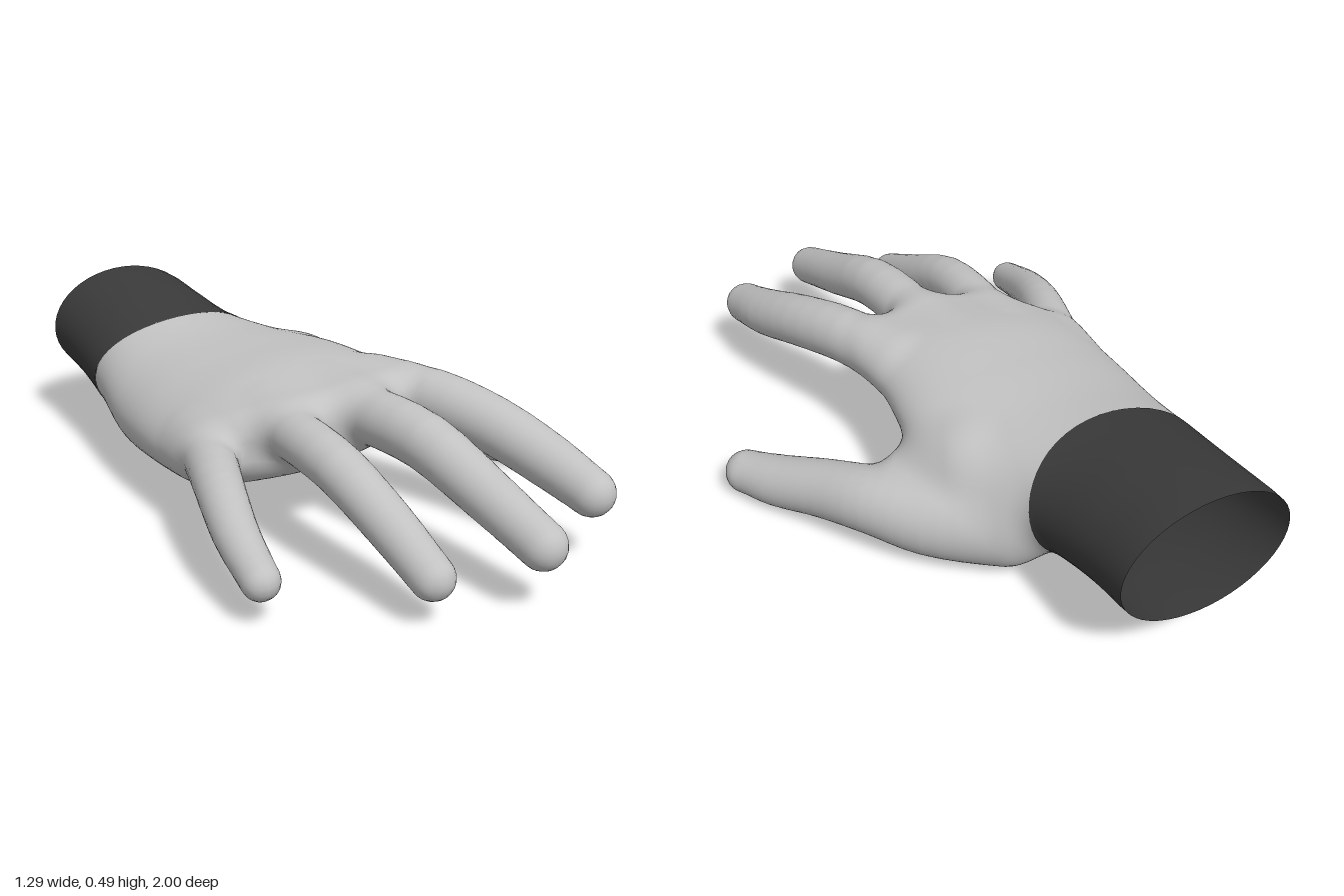
import * as THREE from 'three';

// Palm and wrist cross-sections every 0.2 from z = -1: centre x, centre y, half width, half height, sideways slope
const SECTIONS = [
  [-0.148, 0.32, 0.253, 0.18, 0],
  [-0.157, 0.297, 0.257, 0.182, 0],
  [-0.16, 0.262, 0.28, 0.188, 0],
  [-0.142, 0.235, 0.335, 0.193, 0.05],
  [-0.135, 0.248, 0.365, 0.178, 0.1],
  [-0.15, 0.267, 0.358, 0.159, 0.14],
  [-0.15, 0.294, 0.355, 0.112, 0.15],
  [-0.15, 0.297, 0.35, 0.095, 0.15],
];

// Digits: joints as x, y, z, radius
const FINGERS = [
  [[0.12, 0.33, 0.1, 0.08], [0.178, 0.335, 0.28, 0.082], [0.237, 0.3, 0.47, 0.079], [0.278, 0.245, 0.65, 0.073], [0.292, 0.203, 0.797, 0.064]],
  [[-0.06, 0.32, 0.1, 0.075], [-0.05, 0.335, 0.3, 0.078], [-0.035, 0.325, 0.52, 0.076], [-0.015, 0.255, 0.73, 0.069], [-0.002, 0.185, 0.935, 0.062]],
  [[-0.25, 0.3, 0.1, 0.07], [-0.27, 0.31, 0.28, 0.07], [-0.278, 0.29, 0.48, 0.068], [-0.265, 0.21, 0.67, 0.064], [-0.263, 0.135, 0.843, 0.057]],
  [[-0.41, 0.23, -0.02, 0.07], [-0.455, 0.235, 0.13, 0.07], [-0.52, 0.22, 0.3, 0.064], [-0.57, 0.175, 0.46, 0.058], [-0.597, 0.125, 0.614, 0.05]],
];
const THUMB = [[0.085, 0.15, -0.455, 0.14], [0.245, 0.14, -0.335, 0.12], [0.357, 0.145, -0.22, 0.096], [0.443, 0.118, -0.075, 0.083], [0.527, 0.085, 0.06, 0.074], [0.582, 0.074, 0.153, 0.063]];
// Fold of skin between thumb and palm
const THUMB_WEB = [[0.14, 0.265, -0.33, 0.09], [0.255, 0.21, -0.22, 0.058]];

// Smooth interpolation of the cross-sections
function sectionAt(z) {
  const s = THREE.MathUtils.clamp((z + 1) / 0.2, 0, SECTIONS.length - 1.001);
  const i = Math.floor(s), t = s - i;
  const a = SECTIONS[Math.max(i - 1, 0)], b = SECTIONS[i], c = SECTIONS[i + 1];
  const d = SECTIONS[Math.min(i + 2, SECTIONS.length - 1)];
  return b.map((v, k) => v + 0.5 * t * (c[k] - a[k] + t * (2 * a[k] - 5 * v + 4 * c[k] - d[k] + t * (3 * (v - c[k]) + d[k] - a[k]))));
}

// Resample a digit along a smooth curve
function smoothDigit(joints, n) {
  const curve = new THREE.CatmullRomCurve3(joints.map(j => new THREE.Vector3(j[0], j[1], j[2])));
  const radius = new THREE.SplineCurve(joints.map((j, i) => new THREE.Vector2(i, j[3])));
  return Array.from({ length: n + 1 }, (_, i) => [...curve.getPoint(i / n).toArray(), radius.getPoint(i / n).y]);
}

const fingers = FINGERS.map(f => smoothDigit(f, 12));
const thumb = smoothDigit(THUMB, 20);

function smoothMin(a, b, k) {
  const h = Math.max(k - Math.abs(a - b), 0) / k;
  return Math.min(a, b) - h * h * k * 0.25;
}

// Distance to a chain of rounded cones
function digitDistance(path, x, y, z) {
  let best = Infinity;
  for (let i = 0; i < path.length - 1; i++) {
    const a = path[i], b = path[i + 1];
    const ux = b[0] - a[0], uy = b[1] - a[1], uz = b[2] - a[2], dr = b[3] - a[3];
    const px = x - a[0], py = y - a[1], pz = z - a[2];
    const len2 = ux * ux + uy * uy + uz * uz;
    const foot = (px * ux + py * uy + pz * uz) / len2;
    const off = Math.sqrt(Math.max(0, px * px + py * py + pz * pz - foot * foot * len2));
    const lean = dr * off / Math.sqrt(len2 * (len2 - dr * dr));
    const t = Math.min(1, Math.max(0, foot + lean));
    const d = Math.sqrt(off * off + (foot - t) ** 2 * len2) - a[3] - t * dr;
    if (d < best) best = d;
  }
  return best;
}

// Signed distance to the whole hand: palm, fingers and thumb blended together
function field(x, y, z, sec = sectionAt(z)) {
  const [cx, cy, rx, ry, slope] = sec;
  const dx = x - cx, dy = y - cy - slope * dx;
  const k0 = Math.hypot(dx / rx, dy / ry), k1 = Math.hypot(dx / rx / rx, dy / ry / ry);
  const side = k1 < 1e-6 ? -ry : k0 * (k0 - 1) / k1;
  const front = z - 0.285 - 0.12 * (x + 0.15) + 1.2 * (x + 0.12) ** 2;
  let d = -smoothMin(-side, -front, 0.08);
  let f = digitDistance(fingers[0], x, y, z);
  for (const path of fingers.slice(1)) f = smoothMin(f, digitDistance(path, x, y, z), 0.03);
  d = smoothMin(d, f, 0.05);
  const t = smoothMin(digitDistance(thumb, x, y, z), digitDistance(THUMB_WEB, x, y, z), 0.06);
  return smoothMin(d, t, 0.08);
}

function gradient(p) {
  const e = 0.006;
  return new THREE.Vector3(
    field(p.x + e, p.y, p.z) - field(p.x - e, p.y, p.z),
    field(p.x, p.y + e, p.z) - field(p.x, p.y - e, p.z),
    field(p.x, p.y, p.z + e) - field(p.x, p.y, p.z - e)).divideScalar(2 * e);
}

// Pull a point onto the hand surface
function snap(p) {
  for (let i = 0; i < 2; i++) {
    const g = gradient(p);
    p.addScaledVector(g, -field(p.x, p.y, p.z) / Math.max(g.lengthSq(), 0.2));
  }
  return p;
}

// Slanted seam between hand and cuff
const seamZ = y => -0.645 + 0.125 * Math.max(0, (y - 0.08) / 0.37) ** 2.4;

function makeGeometry(points, index) {
  const g = new THREE.BufferGeometry().setFromPoints(points);
  g.setIndex(index);
  const normals = points.flatMap(p => gradient(p).normalize().toArray());
  g.setAttribute('normal', new THREE.Float32BufferAttribute(normals, 3));
  return g;
}

// Skin the distance field with one vertex per crossed grid cell
function handGeometry() {
  const h = 0.018, lo = [-0.72, -0.045, -0.74], n = [81, 34, 101];
  const step = [1, n[0], n[0] * n[1]];
  const values = new Float32Array(n[0] * n[1] * n[2]);
  const each = (start, end, fn) => {
    for (let k = start; k < n[2] - end; k++)
      for (let j = start; j < n[1] - end; j++)
        for (let i = start; i < n[0] - end; i++) fn(i, j, k, i + j * step[1] + k * step[2]);
  };
  const slices = Array.from({ length: n[2] }, (_, k) => sectionAt(lo[2] + k * h));
  each(0, 0, (i, j, k, id) => { values[id] = field(lo[0] + i * h, lo[1] + j * h, lo[2] + k * h, slices[k]); });

  const points = [], behind = [], cell = new Int32Array(values.length).fill(-1);
  each(0, 1, (i, j, k, id) => {
    const sum = new THREE.Vector3();
    let hits = 0;
    for (let c = 0; c < 8; c++) {
      for (let a = 0; a < 3; a++) {
        if (c & (1 << a)) continue;
        const o = [c & 1, (c >> 1) & 1, (c >> 2) & 1];
        const from = id + o[0] + o[1] * step[1] + o[2] * step[2];
        const v0 = values[from], v1 = values[from + step[a]];
        if ((v0 < 0) === (v1 < 0)) continue;
        o[a] += v0 / (v0 - v1);
        sum.add(new THREE.Vector3(...o));
        hits++;
      }
    }
    if (!hits) return;
    sum.divideScalar(hits).add(new THREE.Vector3(i, j, k)).multiplyScalar(h).add(new THREE.Vector3(...lo));
    const p = snap(sum), seam = seamZ(p.y);
    cell[id] = points.length;
    behind.push(p.z < seam);
    p.z = Math.max(p.z, seam);
    points.push(p);
  });

  const index = [];
  each(1, 1, (i, j, k, id) => {
    for (let a = 0; a < 3; a++) {
      const inside = values[id] < 0;
      if (inside === (values[id + step[a]] < 0)) continue;
      const b = step[(a + 1) % 3], c = step[(a + 2) % 3];
      const q = [cell[id], cell[id - b], cell[id - b - c], cell[id - c]];
      if (q.some(v => v < 0) || q.every(v => behind[v])) continue;
      if (!inside) q.reverse();
      index.push(q[0], q[1], q[2], q[0], q[2], q[3]);
    }
  });
  return makeGeometry(points, index);
}

// Open sleeve from the slightly slanted wrist opening to the seam
function cuffGeometry() {
  const around = 48, rows = 10, points = [], index = [];
  for (let r = 0; r <= rows; r++) {
    for (let i = 0; i < around; i++) {
      const a = (i / around) * Math.PI * 2;
      const p = new THREE.Vector3(-0.15 + 0.25 * Math.cos(a), 0.27 + 0.19 * Math.sin(a), -1);
      for (let pass = 0; pass < 4; pass++) {
        p.z = THREE.MathUtils.lerp(-1 + 0.03 * (p.x + 0.401), seamZ(p.y) + 0.004, r / rows);
        const [cx, cy, rx, ry, slope] = sectionAt(p.z);
        p.x = cx + rx * Math.cos(a);
        p.y = cy + ry * Math.sin(a) + slope * rx * Math.cos(a);
      }
      if (r > 0) snap(p).addScaledVector(gradient(p).normalize(), 0.002);
      points.push(p);
      if (r === rows) continue;
      const A = r * around + i, B = r * around + (i + 1) % around;
      index.push(A, B, B + around, A, B + around, A + around);
    }
  }
  return makeGeometry(points, index);
}

export function createModel() {
  const gloveGrey = new THREE.MeshStandardMaterial({ color: 0xc2c2c2, side: THREE.DoubleSide });
  gloveGrey.name = 'gloveGrey';
  const cuffCharcoal = new THREE.MeshStandardMaterial({ color: 0x3a3a3a, side: THREE.DoubleSide });
  cuffCharcoal.name = 'cuffCharcoal';

  const model = new THREE.Group();
  model.name = 'glovedHand';
  const hand = new THREE.Mesh(handGeometry(), gloveGrey);
  hand.name = 'hand';
  const cuff = new THREE.Mesh(cuffGeometry(), cuffCharcoal);
  cuff.name = 'wristCuff';
  model.add(hand, cuff);
  return model;
}
